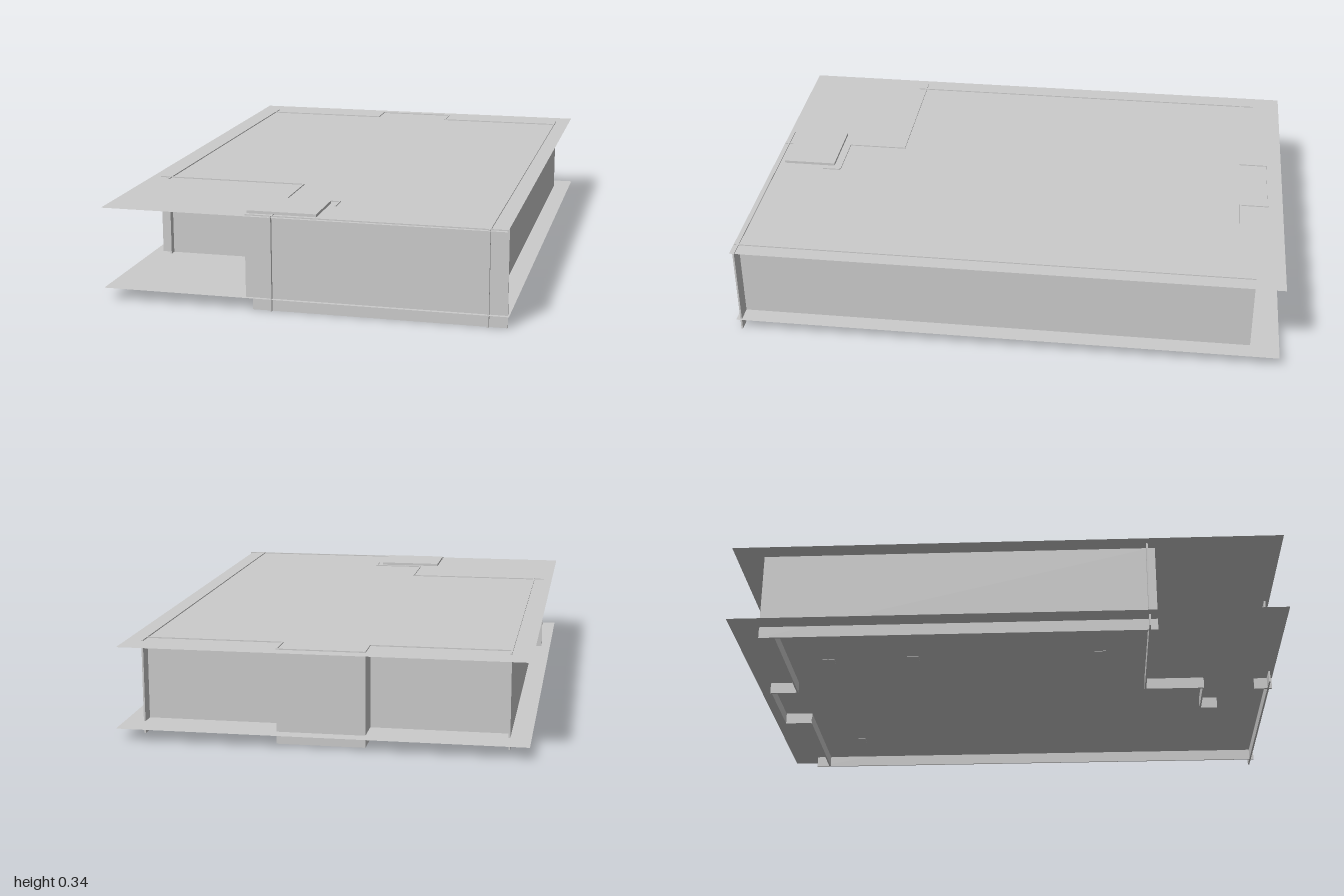
import * as THREE from 'three';

const material = new THREE.MeshStandardMaterial({ color: 0xcccccc, side: THREE.DoubleSide, flatShading: true });
const FLOOR = 0.043, ROOF = 0.332, TOP = 0.336, T = 0.006;

// Box given by its limits on each axis
function block(name, x0, x1, y0, y1, z0, z1) {
  const mesh = new THREE.Mesh(new THREE.BoxGeometry(x1 - x0, y1 - y0, z1 - z0), material);
  mesh.position.set((x0 + x1) / 2, (y0 + y1) / 2, (z0 + z1) / 2);
  mesh.name = name;
  return mesh;
}

// Thin horizontal sheet
function sheet(name, x0, x1, y) {
  const mesh = new THREE.Mesh(new THREE.PlaneGeometry(x1 - x0, 2), material);
  mesh.rotation.x = -Math.PI / 2;
  mesh.position.set((x0 + x1) / 2, y, 0);
  mesh.name = name;
  return mesh;
}

// Thin walls running along x or along z
const wallX = (name, z, x0, x1, y0 = 0, y1 = TOP) => block(name, x0, x1, y0, y1, z - T / 2, z + T / 2);
const wallZ = (name, x, z0, z1) => block(name, x - T / 2, x + T / 2, 0, TOP, z0, z1);

export function createModel() {
  const model = new THREE.Group();
  model.name = 'building';

  // Overhanging roof and floor sheets, with the canopy slab above the entrance
  model.add(
    sheet('floor', -0.715, 0.71, FLOOR),
    sheet('roof', -0.715, 0.7, ROOF),
    block('entranceCanopy', -0.2, 0.045, 0.333, 0.343, 0.76, 0.96)
  );

  // Long side walls, running on past the corners as fins
  model.add(
    wallZ('leftSideWall', 0.64, -0.895, 0.998),
    wallZ('rightSideWall', -0.64, -0.895, 0.54)
  );

  // Back wall with its projecting bay
  const bay = 0.152, backZ = -0.84, bayZ = -0.945;
  model.add(wallX('bayWall', bayZ, -bay, bay));
  for (const s of [-1, 1]) {
    model.add(
      wallX('backWall', backZ, s < 0 ? -0.64 : bay, s < 0 ? -bay : 0.64),
      wallZ('baySide', s * bay, bayZ, backZ)
    );
  }

  // Stepped front: main front wall, recessed wing and entrance niche
  model.add(
    wallX('frontWall', 0.983, -0.2, 0.705, FLOOR),
    wallX('frontFooting', 0.983, -0.175, 0.705, 0, FLOOR),
    wallZ('frontFin', -0.108, 0.93, 0.998),
    wallX('wingFrontWall', 0.51, -0.68, -0.125),
    wallZ('nicheSideWall', -0.125, 0.51, 0.733),
    wallX('nicheBackWall', 0.733, -0.125, 0.07),
    wallZ('nicheReturn', 0.07, 0.733, 0.8)
  );

  // Small pads showing under the floor
  for (const [x, z] of [[-0.365, 0.335], [-0.35, -0.367], [-0.34, -0.688], [0.454, -0.68]]) {
    model.add(block('floorPad', x - 0.022, x + 0.022, FLOOR - 0.002, FLOOR + 0.004, z - 0.022, z + 0.022));
  }
  return model;
}
